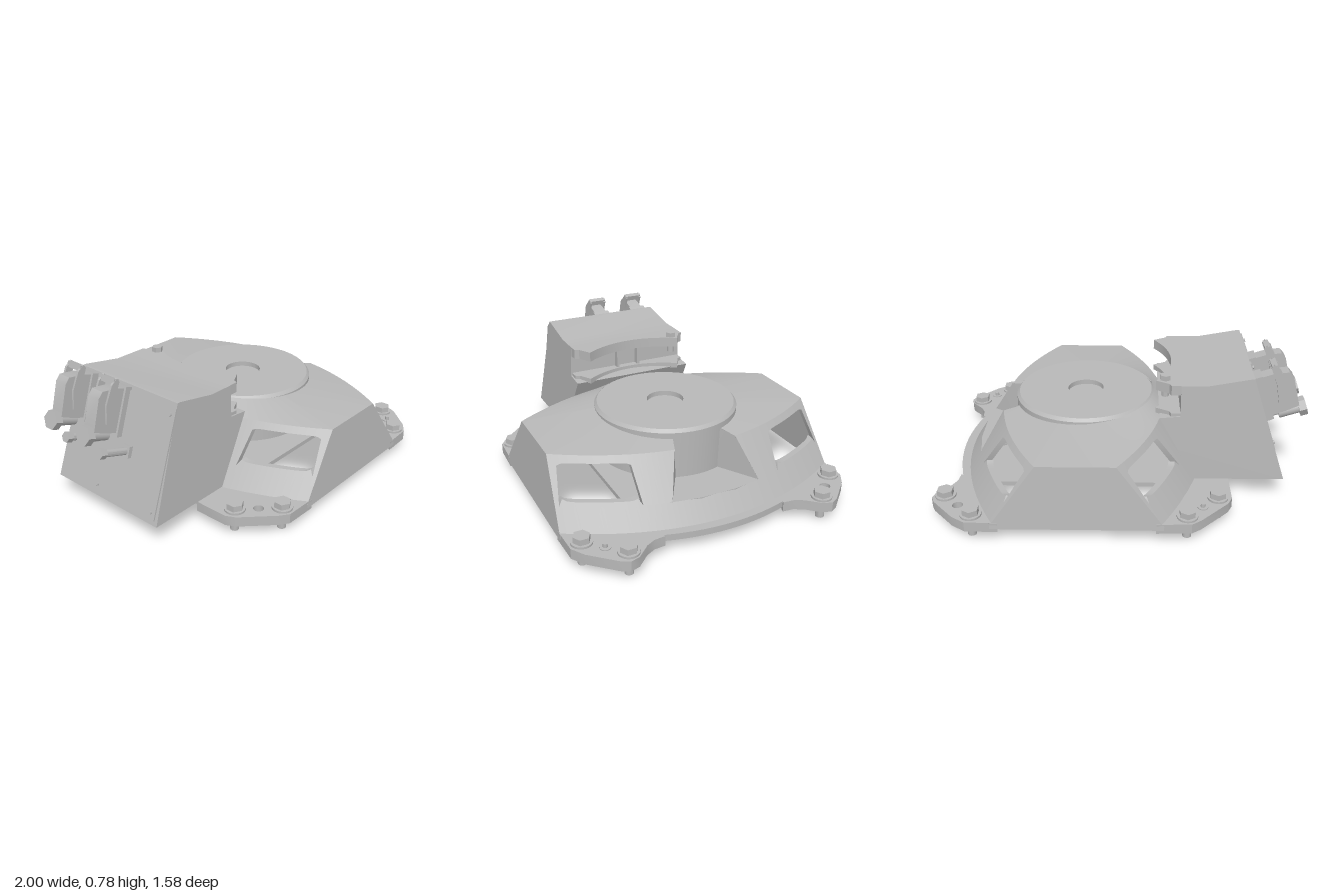
import * as THREE from 'three';
import { toCreasedNormals } from 'three/addons/utils/BufferGeometryUtils.js';

const metal = new THREE.MeshStandardMaterial({ color: 0xb8b8b8, side: THREE.DoubleSide });
metal.name = 'grey metal';
const lerp = THREE.MathUtils.lerp;

function add(parent, name, geo, x = 0, y = 0, z = 0) {
  const mesh = new THREE.Mesh(toCreasedNormals(geo, 0.5), metal);
  mesh.name = name;
  mesh.position.set(x, y, z);
  parent.add(mesh);
  return mesh;
}

// Collects four-cornered faces into one geometry
function quads() {
  const pos = [];
  return {
    face(a, b, c, d) { pos.push(...a, ...b, ...c, ...a, ...c, ...d); },
    geometry() {
      const g = new THREE.BufferGeometry();
      g.setAttribute('position', new THREE.Float32BufferAttribute(pos, 3));
      g.computeVertexNormals();
      return g;
    },
  };
}

const shapeOf = pts => new THREE.Shape(pts.map(p => new THREE.Vector2(p[0], p[1])));

// Horizontal plate from an x/z outline, with optional round holes [x, z, r]
function plate(pts, top, thick, holes = []) {
  const shape = shapeOf(pts);
  for (const [x, z, r] of holes) {
    const hole = new THREE.Path();
    hole.absarc(x, z, r, 0, Math.PI * 2, true);
    shape.holes.push(hole);
  }
  const g = new THREE.ExtrudeGeometry(shape, { depth: thick, bevelEnabled: false, curveSegments: 10 });
  return g.rotateX(Math.PI / 2).translate(0, top, 0);
}

// Curved flank of the housing: u runs front to back, y is height
const MID = 0.22, Y0 = 0.1, Y1 = 0.43, N = 88;
function flank(u, y, inset = 0) {
  const t = (y - Y0) / (Y1 - Y0);
  const edge = lerp(0.66, 0.42, t), mid = lerp(0.89, 0.67, t);
  return [edge + (mid - edge) * (1 - u * u) - inset, y, u * lerp(0.79, 0.76, t)];
}

// Lower and upper limits of the opening at u: side windows and centre notch
function opening(u, notch) {
  const a = Math.abs(u), s = (a - 0.737) / 0.227;
  if (Math.abs(s) < 1) {
    const h = 0.078 * Math.pow(1 - Math.pow(Math.abs(s), 8), 1 / 8);
    return [0.318 - h, 0.318 + h];
  }
  if (notch && a < 0.32) return [0.22, lerp(Y1, 0.22, Math.max(0, (a - 0.23) / 0.09))];
  return [0.22, 0.22];
}

function flankGeometry(side) {
  const q = quads(), notch = side > 0;
  const P = (u, y, inset) => {
    const p = flank(u, y, inset);
    return notch ? p : [2 * MID - p[0], p[1], p[2]];
  };
  for (let i = 0; i < N; i++) {
    const a = i / N * 2 - 1, b = (i + 1) / N * 2 - 1;
    const [la, ha] = opening(a, notch), [lb, hb] = opening(b, notch);
    for (const d of [0, 0.035]) {
      q.face(P(a, Y0, d), P(a, la, d), P(b, lb, d), P(b, Y0, d));
      if (ha < Y1 || hb < Y1) q.face(P(a, ha, d), P(a, Y1, d), P(b, Y1, d), P(b, hb, d));
    }
    if (la !== ha || lb !== hb) {
      q.face(P(a, la, 0), P(a, la, 0.035), P(b, lb, 0.035), P(b, lb, 0));
      if (ha < Y1) q.face(P(a, ha, 0), P(a, ha, 0.035), P(b, hb, 0.035), P(b, hb, 0));
    }
  }
  return q.geometry();
}

// Roof between the housing edge and the round cap, open at the notch
function roofGeometry() {
  const q = quads(), edge = [];
  for (let i = 0; i <= N; i++) edge.push(flank(i / N * 2 - 1, Y1));
  for (let i = 0; i <= N; i++) {
    const p = flank(1 - i / N * 2, Y1);
    edge.push([2 * MID - p[0], Y1, p[2]]);
  }
  edge.push(edge[0]);
  const inner = p => {
    const a = Math.atan2(p[2], p[0] - 0.21);
    return [0.21 + 0.385 * Math.cos(a), 0.465 - 0.023 * Math.cos(a), 0.385 * Math.sin(a)];
  };
  for (let i = 0; i < edge.length - 1; i++) {
    const a = edge[i], b = edge[i + 1];
    const m = Math.abs(Math.atan2((a[2] + b[2]) / 2, (a[0] + b[0]) / 2 - 0.21));
    if (m > 0.36) q.face(a, inner(a), inner(b), b);
  }
  return q.geometry();
}

function bolt(parent, x, z) {
  const g = new THREE.Group();
  g.name = 'flangeBolt';
  add(g, 'boltWasher', new THREE.CylinderGeometry(0.055, 0.055, 0.012, 20), 0, 0.12);
  add(g, 'boltHead', new THREE.CylinderGeometry(0.045, 0.045, 0.035, 6), 0, 0.14);
  add(g, 'boltShank', new THREE.CylinderGeometry(0.023, 0.023, 0.12, 16), 0, 0.06);
  g.position.set(x, 0, z);
  parent.add(g);
}

export function createModel() {
  const model = new THREE.Group();
  model.name = 'housingAssembly';

  // Main housing
  const body = new THREE.Group();
  body.name = 'housing';
  model.add(body);
  for (const s of [1, -1]) {
    add(body, 'windowedFlank', flankGeometry(s));
    const wall = quads();
    wall.face([-0.22, 0.08, s * 0.792], [0.66, 0.08, s * 0.792], [0.66, Y0, s * 0.79], [-0.22, Y0, s * 0.79]);
    wall.face([-0.22, Y0, s * 0.79], [0.66, Y0, s * 0.79], [0.42, Y1, s * 0.76], [0.02, Y1, s * 0.76]);
    add(body, 'flatWall', wall.geometry());
    const side = quads();
    side.face([0.57, 0.22, s * 0.12], [0.57, 0.445, s * 0.13], [0.66, Y1, s * 0.175], [0.786, 0.22, s * 0.25]);
    add(body, 'notchSide', side.geometry());
  }
  add(body, 'roof', roofGeometry());
  add(body, 'notchFloor', plate([[0.56, -0.12], [0.786, -0.25], [0.81, -0.1], [0.81, 0.1], [0.786, 0.25], [0.56, 0.12]], 0.22, 0.01));
  const cap = [[0, 0.465], [0.1, 0.465], [0.1, 0.492], [0.375, 0.492], [0.39, 0.475], [0.39, 0.22]];
  add(body, 'roundCap', new THREE.LatheGeometry(cap.map(p => new THREE.Vector2(...p)), 72), 0.21);
  add(body, 'floor', new THREE.BoxGeometry(1.38, 0.025, 0.78), 0.13, 0.09);

  // Base rim and corner flanges
  const outer = [], inner = [];
  for (let i = 0; i <= 32; i++) {
    const u = i / 16 - 1;
    outer.push([0.66 + 0.27 * (1 - u * u), 0.79 * u]);
    inner.unshift([0.62 + 0.22 * (1 - u * u), 0.79 * u]);
  }
  add(body, 'baseRim', plate([...outer, ...inner], 0.115, 0.035));
  for (const s of [1, -1]) {
    const right = [[0.62, 0.79], [0.79, 0.785], [0.86, 0.74], [0.98, 0.61], [1, 0.57], [0.985, 0.52],
      [0.92, 0.45], [0.895, 0.4], [0.89, 0.34], [0.84, 0.36], [0.79, 0.48], [0.7, 0.66]];
    const left = [[-0.18, 0.79], [-0.36, 0.785], [-0.41, 0.75], [-0.56, 0.6], [-0.585, 0.55], [-0.585, 0.36],
      [-0.4, 0.36], [-0.35, 0.5], [-0.26, 0.68]];
    const flip = pts => pts.map(([x, z]) => [x, z * s]);
    add(body, 'cornerFlange', plate(flip(right), 0.115, 0.055, [[0.85, 0.635 * s, 0.028]]));
    add(body, 'cornerFlange', plate(flip(left), 0.115, 0.055, [[-0.425, 0.635 * s, 0.028]]));
    for (const [x, z] of [[-0.51, 0.55], [-0.34, 0.72], [0.765, 0.72], [0.93, 0.55]]) bolt(body, x, z * s);
    const px = s > 0 ? 0.85 : -0.425;
    add(body, 'dowelPin', new THREE.CylinderGeometry(0.012, 0.012, 0.12, 12), px, 0.08, 0.635 * s);
    add(body, 'dowelCollar', new THREE.CylinderGeometry(0.028, 0.028, 0.06, 16), px, 0.09, 0.635 * s);
  }

  // Terminal box, narrowing slightly towards the top
  const box = new THREE.Group();
  box.name = 'terminalBox';
  model.add(box);
  const profile = [[-0.885, 0.12], [-0.4, 0.12], [-0.3, 0.3], [-0.2, 0.485], [-0.31, 0.495], [-0.31, 0.67], [-0.45, 0.67], [-0.67, 0.71], [-0.69, 0.71]];
  const bg = new THREE.ExtrudeGeometry(shapeOf(profile), { depth: 0.74, bevelEnabled: false });
  bg.translate(0, 0, -0.37);
  const p = bg.attributes.position;
  for (let i = 0; i < p.count; i++) p.setZ(i, p.getZ(i) * (1 - 0.07 * (p.getY(i) - 0.12) / 0.59));
  add(box, 'boxBody', bg);
  const arc = [];
  for (let i = 0; i <= 20; i++) {
    const z = 0.28 - i * 0.028;
    arc.push([0.21 - Math.sqrt(0.2304 - z * z), z]);
  }
  const lip = [[-0.33, 0.345], [-0.26, 0.345], [-0.25, 0.32], ...arc, [-0.25, -0.32], [-0.26, -0.345], [-0.33, -0.345]];
  add(box, 'upperLip', plate(lip, 0.67, 0.055));
  add(box, 'lowerLip', plate(lip, 0.51, 0.03));
  for (const z of [-0.065, 0.065]) add(box, 'recessRib', new THREE.BoxGeometry(0.04, 0.11, 0.014), -0.295, 0.565, z);
  add(box, 'lipScrew', new THREE.CylinderGeometry(0.03, 0.03, 0.03, 6), -0.23, 0.682, -0.26);
  add(box, 'lipScrewShank', new THREE.CylinderGeometry(0.02, 0.02, 0.05, 12), -0.23, 0.6, -0.26);

  // Sloping end face: local x points outwards, local y runs down the slope
  const face = new THREE.Group();
  face.name = 'connectorFace';
  face.position.set(-0.69, 0.71, 0);
  face.rotation.z = Math.PI - 0.319;
  box.add(face);
  add(face, 'coverPanel', new THREE.BoxGeometry(0.008, 0.57, 0.45), 0.004, 0.31, 0.125);
  for (const y of [0.06, 0.56]) for (const z of [-0.07, 0.32]) {
    add(face, 'coverScrew', new THREE.CylinderGeometry(0.01, 0.01, 0.012, 10).rotateZ(Math.PI / 2), 0.01, y, z);
  }
  const hood = [[0, 0.02], [0.1, 0.02], [0.18, 0.035], [0.195, 0.07], [0.185, 0.24], [0.1, 0.25], [0, 0.25]];
  const lever = [[0.085, 0.19], [0.125, 0.2], [0.15, 0.1], [0.14, 0], [0.115, -0.035], [0.095, -0.02], [0.1, 0.08]];
  const solid = (pts, w) => new THREE.ExtrudeGeometry(shapeOf(pts), { depth: w, bevelEnabled: false }).translate(0, 0, -w / 2);
  const rod = (r, l, n) => new THREE.CylinderGeometry(r, r, l, n).rotateZ(Math.PI / 2);
  for (const z of [-0.265, -0.015]) {
    const c = new THREE.Group();
    c.name = 'connector';
    c.position.z = z;
    face.add(c);
    add(c, 'connectorFoot', new THREE.BoxGeometry(0.04, 0.26, 0.1), 0.02, 0.14);
    add(c, 'connectorHood', solid(hood, 0.075));
    for (const s of [-1, 1]) add(c, 'latchLever', solid(lever, 0.012), 0, 0, s * 0.046);
    add(c, 'latchBar', new THREE.BoxGeometry(0.03, 0.03, 0.1), 0.115, -0.015);
    add(c, 'cableGland', rod(0.032, 0.13, 16), 0.135, 0.265);
    add(c, 'glandNut', rod(0.052, 0.04, 6), 0.2, 0.265);
    // Small plug beside each connector
    add(c, 'smallPlug', rod(0.02, 0.2, 14), 0.1, 0.32, 0.112);
    add(c, 'smallPlugNut', rod(0.028, 0.035, 6), 0.185, 0.32, 0.112);
    add(c, 'smallPlugBase', new THREE.BoxGeometry(0.03, 0.06, 0.055), 0.015, 0.32, 0.112);
  }
  return model;
}
